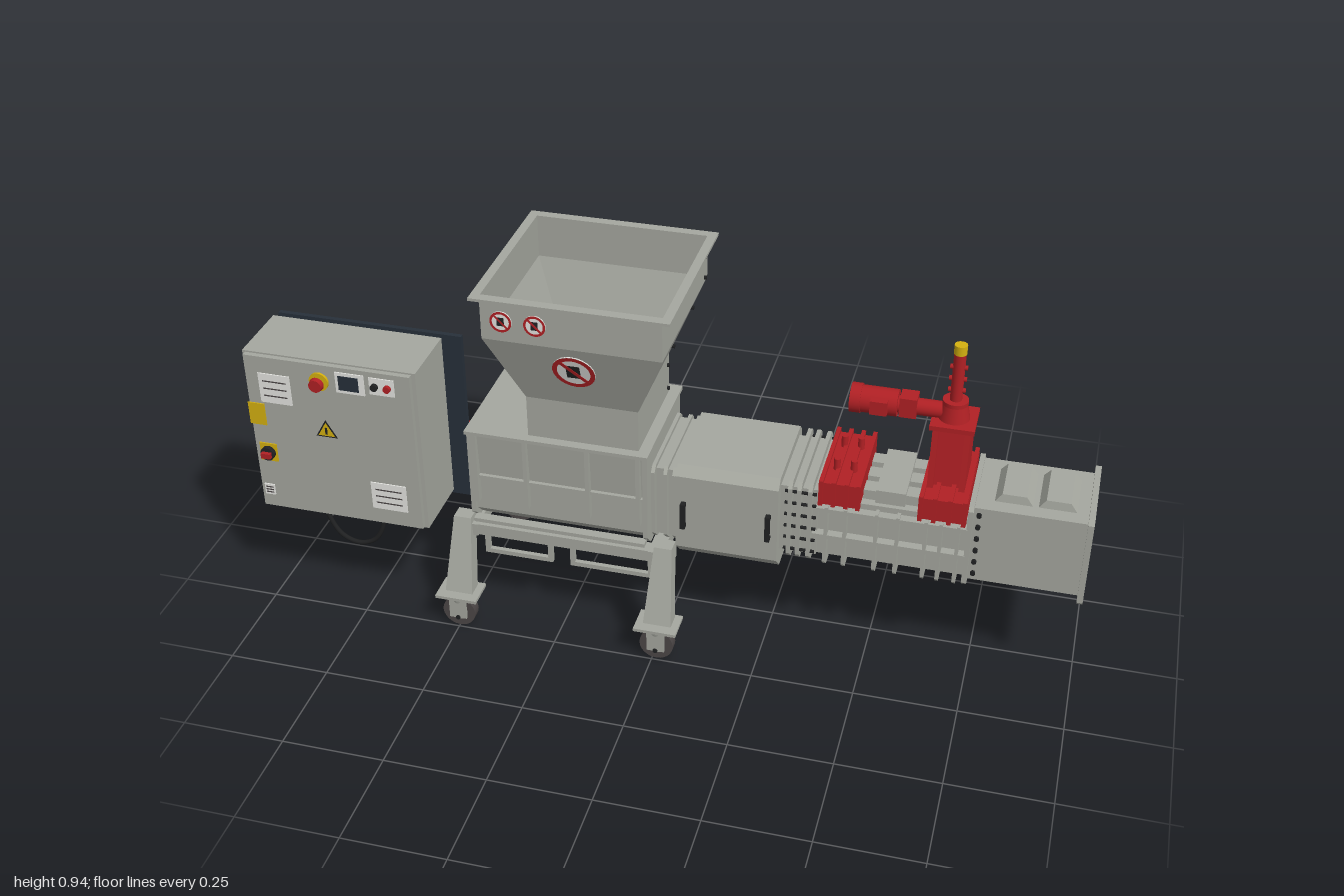
import * as THREE from 'three';

export function createModel() {
  const mat = (name, color, side = THREE.FrontSide) => {
    const m = new THREE.MeshStandardMaterial({ color, side });
    m.name = name;
    return m;
  };
  const grey = mat('paintedGrey', 0xa5a79f, THREE.DoubleSide);
  const red = mat('machineRed', 0xb02024);
  const navy = mat('darkNavy', 0x27303a);
  const black = mat('black', 0x202122);
  const rubber = mat('rubberGrey', 0x4b4646);
  const yellow = mat('yellow', 0xd4b010);
  const white = mat('white', 0xe4e4e0);

  const model = new THREE.Group();
  model.name = 'compactor';
  let group = model;
  const section = name => { group = new THREE.Group(); group.name = name; model.add(group); };
  const add = (name, geo, m) => {
    const mesh = new THREE.Mesh(geo, m);
    mesh.name = name;
    group.add(mesh);
    return mesh;
  };
  const box = (name, m, x0, x1, y0, y1, z0, z1) =>
    add(name, new THREE.BoxGeometry(x1 - x0, y1 - y0, z1 - z0)
      .translate((x0 + x1) / 2, (y0 + y1) / 2, (z0 + z1) / 2), m);
  // Cylinder along an axis, centred on (x, y, z)
  const cyl = (name, m, axis, r0, r1, len, x, y, z, n = 24) => {
    const g = new THREE.CylinderGeometry(r1, r0, len, n);
    if (axis === 'x') g.rotateZ(-Math.PI / 2);
    if (axis === 'z') g.rotateX(Math.PI / 2);
    return add(name, g.translate(x, y, z), m);
  };
  // Outline in the z-y plane extruded from x0 to x1, with an optional hole
  const prism = (name, m, pts, x0, x1, hole) => {
    const toVec = p => p.map(([z, y]) => new THREE.Vector2(-z, y));
    const shape = new THREE.Shape(toVec(pts));
    if (hole) shape.holes.push(new THREE.Path(toVec(hole)));
    const g = new THREE.ExtrudeGeometry(shape, { depth: x1 - x0, bevelEnabled: false });
    return add(name, g.rotateY(Math.PI / 2).translate(x0, 0, 0), m);
  };
  // Chamfered rectangle: half width, bottom, top, bottom chamfer, top chamfer
  const chamfer = (w, b, t, cb, ct) => [[-w + cb, b], [w - cb, b], [w, b + cb], [w, t - ct],
    [w - ct, t], [-w + ct, t], [-w, t - ct], [-w, b + cb]];
  const rect = (w, b, t) => [[-w, b], [w, b], [w, t], [-w, t]];
  // Flat-sided skin through rectangles [y, x0, x1, z0, z1], listed upwards
  const loft = (name, m, levels, capped) => {
    const ring = ([y, x0, x1, z0, z1]) => [[x0, y, z1], [x1, y, z1], [x1, y, z0], [x0, y, z0]];
    const pos = [];
    const quad = (a, b, c, d) => pos.push(...a, ...b, ...c, ...a, ...c, ...d);
    for (let i = 0; i + 1 < levels.length; i++) {
      const a = ring(levels[i]), b = ring(levels[i + 1]);
      for (let k = 0; k < 4; k++) quad(a[k], a[(k + 1) % 4], b[(k + 1) % 4], b[k]);
    }
    if (capped) {
      quad(...ring(levels[0]).reverse());
      quad(...ring(levels[levels.length - 1]));
    }
    const g = new THREE.BufferGeometry();
    g.setAttribute('position', new THREE.Float32BufferAttribute(pos, 3));
    g.computeVertexNormals();
    return add(name, g, m);
  };

  // Feed hopper with rim, bolts and warning signs
  section('hopper');
  loft('hopperSkin', grey, [[0.53, -0.33, -0.057, -0.14, 0.14], [0.64, -0.33, -0.057, -0.14, 0.14],
    [0.825, -0.405, 0.02, -0.208, 0.207], [0.93, -0.405, 0.02, -0.208, 0.207]]);
  for (const z of [-0.217, 0.212]) box('rimSide', grey, -0.425, 0.042, 0.928, 0.935, z - 0.012, z + 0.012);
  for (const x of [-0.415, 0.031]) box('rimEnd', grey, x - 0.011, x + 0.011, 0.928, 0.935, -0.229, 0.224);
  for (const [x, y, z] of [[0.02, 0.895, -0.178], [0.02, 0.838, -0.178], [-0.005, 0.765, -0.155],
    [-0.042, 0.675, -0.115], [-0.057, 0.615, -0.122], [-0.057, 0.55, -0.122]])
    cyl('hopperBolt', black, 'x', 0.005, 0.005, 0.012, x, y, z, 10);
  const sign = (x, y, z, r, tilt) => {
    const parent = group, s = new THREE.Group();
    s.name = 'prohibitionSign';
    parent.add(s);
    group = s;
    cyl('signFace', white, 'z', r, r, 0.002, 0, 0, 0.002);
    add('signRing', new THREE.RingGeometry(r * 0.78, r, 32).translate(0, 0, 0.0045), red);
    box('signSymbol', black, -r * 0.35, r * 0.3, -r * 0.4, r * 0.4, 0.0025, 0.004);
    box('signBar', red, -r * 0.85, r * 0.85, -r * 0.09, r * 0.09, 0.004, 0.005).rotation.z = -Math.PI / 4;
    s.position.set(x, y, z);
    s.rotation.x = tilt;
    group = parent;
  };
  sign(-0.355, 0.877, 0.208, 0.026, 0);
  sign(-0.275, 0.877, 0.208, 0.026, 0);
  sign(-0.195, 0.755, 0.182, 0.051, 0.347);

  // Feed trough under the hopper
  section('troughBody');
  prism('trough', grey, [[-0.11, 0.265], [0.11, 0.265], [0.145, 0.3], [0.145, 0.4], [0.153, 0.525],
    [-0.153, 0.525], [-0.145, 0.4], [-0.145, 0.3]], -0.475, -0.04);
  box('topFlange', grey, -0.485, -0.03, 0.523, 0.532, -0.168, 0.164);
  for (const x of [-0.482, -0.045]) prism('endPlate', grey, chamfer(0.155, 0.262, 0.525, 0.03, 0), x, x + 0.012);
  for (const s of [-1, 1]) {
    box('sideRail', grey, -0.475, -0.04, 0.265, 0.278, s * 0.15 - 0.012, s * 0.15 + 0.012);
    box('panelSeam', grey, -0.47, -0.045, 0.396, 0.404, s * 0.15 - 0.005, s * 0.15 + 0.005);
    for (const x of [-0.462, -0.335, -0.18, -0.055])
      box('panelRib', grey, x - 0.005, x + 0.005, 0.33, 0.525, s * 0.153 - 0.01, s * 0.153 + 0.01);
  }

  // Main drive on the end of the trough
  section('mainDrive');
  cyl('driveFlange', grey, 'x', 0.07, 0.07, 0.025, -0.493, 0.39, -0.005);
  cyl('driveCollar', red, 'x', 0.056, 0.056, 0.02, -0.515, 0.39, -0.005);
  cyl('gearbox', red, 'x', 0.048, 0.048, 0.13, -0.58, 0.39, -0.005);
  cyl('motorBody', red, 'x', 0.052, 0.052, 0.1, -0.685, 0.39, -0.005);
  cyl('motorEnd', red, 'x', 0.042, 0.05, 0.015, -0.742, 0.39, -0.005);

  // Support frame, legs and castors
  section('frame');
  for (const s of [-1, 1]) {
    box('longBeam', grey, -0.5, 0.01, 0.238, 0.268, s * 0.155 - 0.018, s * 0.155 + 0.018);
    for (const [a, b] of [[-0.45, -0.275], [-0.23, -0.02]]) {
      box('guardBar', grey, a, b, 0.178, 0.19, s * 0.155 - 0.006, s * 0.155 + 0.006);
      for (const x of [a + 0.006, b - 0.006])
        box('guardPost', grey, x - 0.006, x + 0.006, 0.19, 0.24, s * 0.155 - 0.006, s * 0.155 + 0.006);
    }
  }
  for (const x of [-0.48, -0.01]) box('crossBeam', grey, x - 0.018, x + 0.018, 0.235, 0.268, -0.175, 0.175);
  for (const sx of [-1, 1]) for (const sz of [-1, 1]) {
    section('leg');
    loft('legPost', grey, [[0.095, -0.035, 0.035, 0.195, 0.236], [0.285, -0.022, 0.022, 0.138, 0.176]], true);
    box('legBracket', grey, -0.022, 0.022, 0.235, 0.275, 0.13, 0.178);
    box('footPlate', grey, -0.053, 0.053, 0.088, 0.096, 0.185, 0.262);
    cyl('swivel', grey, 'y', 0.022, 0.026, 0.016, 0, 0.08, 0.23);
    for (const z of [0.211, 0.249]) box('fork', grey, -0.022, 0.022, 0.028, 0.08, z - 0.003, z + 0.003);
    cyl('wheel', rubber, 'z', 0.042, 0.042, 0.026, 0, 0.042, 0.23);
    cyl('hub', grey, 'z', 0.022, 0.022, 0.032, 0, 0.042, 0.23);
    cyl('axle', black, 'z', 0.006, 0.006, 0.05, 0, 0.03, 0.23, 10);
    group.position.x = -0.245 + sx * 0.255;
    if (sz < 0) group.rotation.y = Math.PI;
  }

  // Compression housing and its flanges
  section('compressionHousing');
  box('neck', grey, -0.035, 0.035, 0.285, 0.475, -0.115, 0.115);
  for (const x of [-0.03, 0.0, 0.022]) prism('neckFlange', grey, chamfer(0.132, 0.27, 0.485, 0.025, 0.015), x, x + 0.009);
  prism('housing', grey, chamfer(0.138, 0.232, 0.497, 0.04, 0.022), 0.032, 0.28);
  for (const s of [-1, 1]) for (const x of [0.052, 0.258]) {
    box('handleGrip', black, x - 0.006, x + 0.006, 0.335, 0.405, s * 0.15 - 0.004, s * 0.15 + 0.004);
    for (const y of [0.34, 0.4]) box('handleFoot', black, x - 0.006, x + 0.006, y - 0.005, y + 0.005, s * 0.142 - 0.006, s * 0.142 + 0.006);
  }
  for (const x of [0.3, 0.322, 0.348]) prism('couplingFlange', grey, chamfer(0.13, 0.275, 0.495, 0.02, 0.015), x, x + 0.01);
  prism('couplingCore', grey, rect(0.11, 0.29, 0.475), 0.28, 0.37);
  for (const s of [-1, 1]) for (let i = 0; i < 6; i++)
    cyl('couplingBolt', black, 'x', 0.004, 0.004, 0.075, 0.33, 0.305 + i * 0.033, s * 0.122, 8);

  // Ribbed press channel
  section('pressChannel');
  box('channel', grey, 0.36, 0.725, 0.29, 0.45, -0.102, 0.102);
  for (const x of [0.392, 0.437, 0.51, 0.56, 0.625, 0.66, 0.7])
    prism('channelRib', grey, chamfer(0.126, 0.268, 0.44, 0.015, 0), x - 0.004, x + 0.004);
  for (const s of [-1, 1]) for (const y of [0.355, 0.43])
    box('channelStringer', grey, 0.36, 0.72, y - 0.005, y + 0.005, s * 0.112 - 0.012, s * 0.112 + 0.012);
  for (const z of [-0.06, 0, 0.06]) box('topRail', grey, 0.47, 0.6, 0.45, 0.475, z - 0.02, z + 0.02);
  box('channelLid', grey, 0.5, 0.57, 0.45, 0.485, -0.09, 0.09);

  // Red clamp across the channel
  section('clamp');
  box('clampBlock', red, 0.37, 0.468, 0.44, 0.5, -0.112, 0.112);
  for (const x of [0.375, 0.405, 0.435, 0.463]) box('clampRib', red, x - 0.005, x + 0.005, 0.44, 0.508, -0.12, 0.12);
  for (const x of [0.4, 0.44]) for (const z of [-0.05, 0.05]) cyl('clampStud', red, 'y', 0.008, 0.008, 0.03, x, 0.517, z, 12);

  // Press tower with spindle and gear motor
  section('pressTower');
  box('towerBase', red, 0.602, 0.715, 0.44, 0.497, -0.112, 0.112);
  for (const x of [0.608, 0.64, 0.675, 0.709]) box('baseRib', red, x - 0.005, x + 0.005, 0.438, 0.505, -0.12, 0.12);
  for (const x of [0.613, 0.686])
    prism('towerCheek', red, [[-0.068, 0.495], [0.065, 0.495], [0.048, 0.65], [-0.052, 0.65]], x, x + 0.014);
  loft('towerCore', red, [[0.495, 0.625, 0.688, -0.05, 0.05], [0.65, 0.625, 0.688, -0.036, 0.036]], true);
  box('towerTop', red, 0.605, 0.708, 0.645, 0.657, -0.055, 0.052);
  cyl('spindleCone', red, 'y', 0.037, 0.028, 0.045, 0.655, 0.677, 0);
  cyl('spindleCollar', red, 'y', 0.03, 0.03, 0.01, 0.655, 0.7, 0);
  cyl('spindleTube', red, 'y', 0.014, 0.014, 0.125, 0.655, 0.762, 0);
  for (const y of [0.73, 0.76, 0.79]) cyl('spindleBoss', red, 'x', 0.006, 0.006, 0.04, 0.655, y, 0, 10);
  cyl('spindleCap', yellow, 'y', 0.015, 0.015, 0.023, 0.655, 0.837, 0);
  cyl('gearNeck', red, 'x', 0.02, 0.02, 0.13, 0.585, 0.672, 0);
  box('gearHousing', red, 0.53, 0.57, 0.65, 0.7, -0.022, 0.022);
  cyl('gearMotor', red, 'x', 0.032, 0.032, 0.105, 0.473, 0.674, 0);
  cyl('motorCowl', red, 'x', 0.035, 0.035, 0.025, 0.428, 0.674, 0);
  box('terminalBox', red, 0.465, 0.505, 0.66, 0.695, 0.02, 0.044);

  // Hollow outlet chute
  section('outlet');
  prism('chute', grey, rect(0.106, 0.285, 0.488), 0.725, 0.99, rect(0.098, 0.294, 0.48));
  prism('chuteFlange', grey, chamfer(0.122, 0.264, 0.507, 0.012, 0.012), 0.986, 1, rect(0.098, 0.294, 0.48));
  prism('inletFlange', grey, chamfer(0.122, 0.272, 0.495, 0.01, 0.01), 0.718, 0.73);
  box('pressedFace', rubber, 0.73, 0.738, 0.294, 0.48, -0.098, 0.098);
  for (const x of [0.815, 0.915])
    loft('chuteCover', grey, [[0.486, x - 0.045, x + 0.045, -0.068, 0.068], [0.508, x - 0.028, x + 0.028, -0.064, 0.064]], true);
  for (const s of [-1, 1]) for (let i = 0; i < 6; i++)
    cyl('chuteBolt', black, 'z', 0.006, 0.006, 0.012, 0.742, 0.305 + i * 0.033, s * 0.107, 10);

  // Control cabinet
  section('controlCabinet');
  box('backPlate', navy, -0.985, -0.515, 0.27, 0.73, 0.05, 0.062);
  box('cabinet', grey, -1, -0.565, 0.28, 0.72, 0.062, 0.233);
  box('door', grey, -0.993, -0.575, 0.285, 0.716, 0.233, 0.246);
  const plate = (name, m, x, y, w, h, z = 0.2475) => box(name, m, x - w / 2, x + w / 2, y - h / 2, y + h / 2, z - 0.0015, z + 0.0015);
  plate('yellowLabel', yellow, -0.976, 0.555, 0.042, 0.06);
  plate('switchPlate', yellow, -0.96, 0.447, 0.044, 0.05);
  cyl('mainSwitch', black, 'z', 0.018, 0.018, 0.012, -0.96, 0.447, 0.254);
  box('switchKnob', red, -0.972, -0.948, 0.44, 0.454, 0.258, 0.27);
  cyl('stopRing', yellow, 'z', 0.024, 0.024, 0.006, -0.803, 0.672, 0.249);
  cyl('stopStem', black, 'z', 0.01, 0.01, 0.016, -0.803, 0.672, 0.257);
  cyl('stopButton', red, 'z', 0.018, 0.016, 0.012, -0.803, 0.672, 0.267);
  plate('displayFrame', white, -0.725, 0.677, 0.072, 0.055);
  plate('display', navy, -0.728, 0.677, 0.05, 0.038, 0.2495);
  plate('keyPlate', white, -0.645, 0.68, 0.062, 0.045);
  for (const [x, m] of [[-0.662, black], [-0.63, red]]) cyl('pushButton', m, 'z', 0.009, 0.009, 0.01, x, 0.68, 0.253, 12);
  for (const [x, y, w, h] of [[-0.92, 0.632, 0.08, 0.08], [-0.655, 0.366, 0.09, 0.075], [-0.972, 0.335, 0.026, 0.03]]) {
    plate('notice', white, x, y, w, h);
    for (const k of [0.25, 0, -0.25]) plate('noticeLine', rubber, x, y + k * h, w * 0.75, 0.003, 0.2485);
  }
  const triangle = (name, m, r, z) => add(name, new THREE.CircleGeometry(r, 3, Math.PI / 2).translate(-0.8, 0.532, z), m);
  triangle('warningBorder', black, 0.032, 0.247);
  triangle('warningField', yellow, 0.025, 0.248);
  plate('warningMark', black, -0.8, 0.534, 0.005, 0.018, 0.2485);

  // Mains plug and hanging cable
  box('plugBase', red, -0.85, -0.81, 0.262, 0.282, 0.15, 0.19);
  cyl('plug', red, 'y', 0.013, 0.016, 0.022, -0.83, 0.252, 0.175);
  const path = new THREE.CatmullRomCurve3([[-0.87, 0.285], [-0.865, 0.22], [-0.835, 0.165], [-0.79, 0.147],
    [-0.745, 0.165], [-0.717, 0.22], [-0.713, 0.285]].map(([x, y]) => new THREE.Vector3(x, y, 0.166)));
  add('cable', new THREE.TubeGeometry(path, 40, 0.006, 8), black);

  return model;
}
